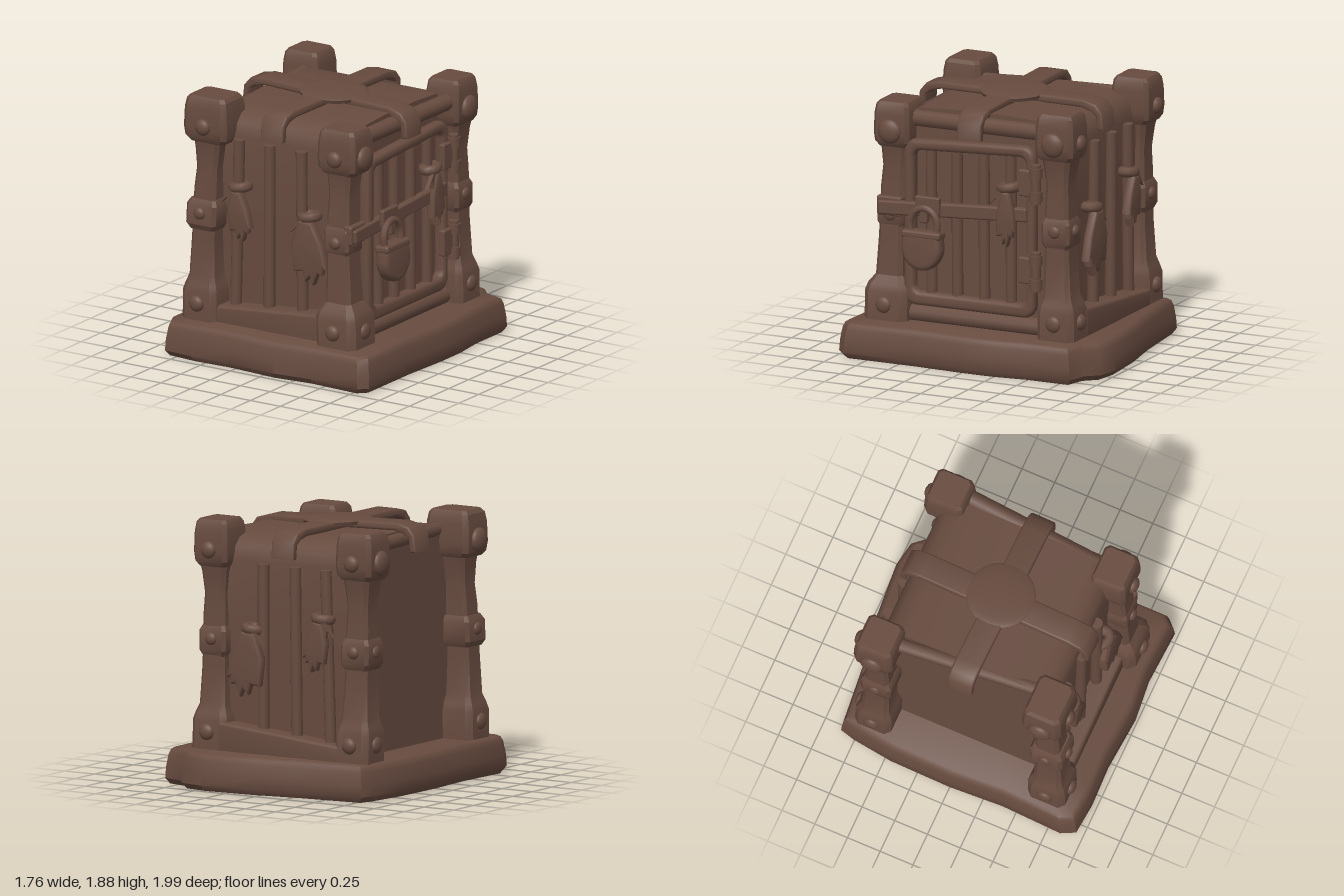
import * as THREE from 'three';
import { toCreasedNormals } from 'three/addons/utils/BufferGeometryUtils.js';
import { RoundedBoxGeometry } from 'three/addons/geometries/RoundedBoxGeometry.js';

const brown = new THREE.MeshStandardMaterial({ color: 0x674b3f });
brown.name = 'dark brown';

function add(parent, name, geo, x = 0, y = 0, z = 0) {
  const m = new THREE.Mesh(geo, brown);
  m.name = name;
  m.position.set(x, y, z);
  parent.add(m);
  return m;
}

// Closed skin over a stack of equal-length rings, bottom to top
function loft(rings, crease = 0.6) {
  const pos = [];
  const tri = (...v) => v.forEach(p => pos.push(...p));
  const n = rings[0].length;
  const mid = r => [0, 1, 2].map(k => r.reduce((s, p) => s + p[k], 0) / n);
  const low = mid(rings[0]), top = mid(rings.at(-1));
  for (let j = 0; j < n; j++) {
    const k = (j + 1) % n;
    for (let i = 0; i + 1 < rings.length; i++) {
      const a = rings[i], b = rings[i + 1];
      tri(a[j], b[j], a[k]);
      tri(a[k], b[j], b[k]);
    }
    tri(low, rings[0][j], rings[0][k]);
    tri(top, rings.at(-1)[k], rings.at(-1)[j]);
  }
  const g = new THREE.BufferGeometry();
  g.setAttribute('position', new THREE.Float32BufferAttribute(pos, 3));
  return toCreasedNormals(g, crease);
}

// Rectangular ring with cut corners
function cutRing(cx, y, cz, hx, hz, cut) {
  return [[1, -cut], [1, cut], [cut, 1], [-cut, 1], [-1, cut], [-1, -cut], [-cut, -1], [cut, -1]]
    .map(([x, z]) => [cx + x * hx, y, cz + z * hz]);
}

// Outline pushed out along z, centred on z = 0
function plate(points, depth, bevel = 0, holes = []) {
  const v = a => a.map(p => new THREE.Vector2(...p));
  const s = new THREE.Shape(v(points));
  holes.forEach(h => s.holes.push(new THREE.Path(v(h))));
  const g = new THREE.ExtrudeGeometry(s, {
    depth: depth - 2 * bevel, bevelEnabled: bevel > 0, bevelSize: bevel,
    bevelThickness: bevel, bevelOffset: -bevel, bevelSegments: 3,
  });
  g.translate(0, 0, bevel - depth / 2);
  return toCreasedNormals(g, 0.7);
}

function roundedRect(x0, y0, x1, y1, r) {
  const pts = [];
  [[x1 - r, y1 - r], [x0 + r, y1 - r], [x0 + r, y0 + r], [x1 - r, y0 + r]].forEach(([x, y], q) => {
    for (let i = 0; i <= 4; i++) {
      const a = (q + i / 4) * Math.PI / 2;
      pts.push([x + r * Math.cos(a), y + r * Math.sin(a)]);
    }
  });
  return pts;
}

function rod(parent, name, a, b, r) {
  const p = new THREE.Vector3(...a), d = new THREE.Vector3(...b).sub(p);
  const m = add(parent, name, new THREE.CylinderGeometry(r, r, d.length(), 10));
  m.position.copy(p).addScaledVector(d, 0.5);
  m.quaternion.setFromUnitVectors(new THREE.Vector3(0, 1, 0), d.normalize());
}

// Torn cloth tied around a bar
function rag(parent, x, y, z, w, h, lean) {
  const g = new THREE.Group(), s = Math.sign(z);
  g.name = 'rag';
  g.position.set(x, y, z);
  const knot = add(g, 'ragKnot', new THREE.TorusGeometry(0.048, 0.037, 8, 14));
  knot.rotation.set(Math.PI / 2, 0.12, 0);
  knot.scale.x = 1.1;
  const outline = [[-0.15, 0], [0.2, 0], [0.42, -0.35], [0.5, -0.72], [0.4, -0.7], [0.36, -0.82],
    [0.25, -0.8], [0.1, -1], [0.04, -0.86], [-0.1, -0.96], [-0.16, -0.8], [-0.4, -0.82], [-0.42, -0.4]];
  add(g, 'ragCloth', plate(outline.map(([u, v]) => [u * w - v * lean, v * h - 0.02]), 0.07, 0.022), 0, 0, s * 0.045);
  add(g, 'ragTail', plate([[-0.02, 0], [0.05, -0.02], [-0.04, -0.13], [-0.05, -0.07], [-0.1, -0.12]], 0.03), -0.02, 0, s * 0.05);
  parent.add(g);
}

export function createModel() {
  const model = new THREE.Group();
  model.name = 'cage';

  // Rough stone slab
  const edge = [[-0.8, -0.86], [-0.3, -0.91], [0.05, -0.97], [0.45, -1], [0.62, -0.97], [0.7, -0.88], [0.85, -0.84],
    [0.85, -0.5], [0.88, -0.25], [0.88, 0], [0.86, 0.4], [0.86, 0.92], [0.8, 0.98], [0.4, 0.96], [0.1, 0.99],
    [-0.3, 0.96], [-0.6, 0.97], [-0.83, 0.95], [-0.88, 0.85], [-0.86, 0.4], [-0.88, 0], [-0.87, -0.45], [-0.83, -0.75]];
  add(model, 'base', loft([[0, 0.97], [0.04, 1], [0.12, 0.995], [0.21, 0.98], [0.245, 0.965], [0.26, 0.94]]
    .map(([y, s]) => edge.map(([x, z]) => [x * s, y, z * s])), 0.7));

  // Corner posts: shaft and foot block, collar, cap as [height, half width]
  const shaft = [[0.24, 0.15], [0.46, 0.15], [0.51, 0.135], [0.57, 0.105], [0.85, 0.094], [1.2, 0.092], [1.35, 0.084], [1.5, 0.1], [1.6, 0.12]];
  const collar = [[0.91, 0.095], [0.95, 0.115], [1.09, 0.115], [1.13, 0.095]];
  const capShape = [[1.54, 0.8], [1.575, 0.95], [1.64, 1], [1.78, 0.97], [1.845, 0.9], [1.87, 0.78]];
  for (const [foot, low, mid, cap, tall, collarSize] of [
    [0.94, [-0.65, 0.69], [-0.64, 0.68], [-0.61, 0.65, 0.18, 0.15], 1.005, 1.08],
    [1.1, [0.53, 0.7], [0.49, 0.69], [0.49, 0.66, 0.16, 0.14], 0.975, 0.9],
    [0.92, [-0.64, -0.65], [-0.65, -0.62], [-0.66, -0.625, 0.15, 0.148], 1.005, 1],
    [0.95, [0.55, -0.64], [0.54, -0.62], [0.535, -0.62, 0.14, 0.15], 1.005, 0.95]]) {
    const at = y => [0, 1].map(k => y < 1 ? low[k] + (mid[k] - low[k]) * y : mid[k] + (cap[k] - mid[k]) * (y - 1) / 0.7);
    const post = new THREE.Group();
    post.name = 'cornerPost';
    const block = (name, list, size, cut) => add(post, name, loft(list.map(([y, h]) => {
      const [cx, cz] = at(y), s = h * (y < 0.52 ? foot : size);
      return cutRing(cx, y, cz, s, s, cut);
    }), 0.5));
    block('postShaft', shaft, 1, 0.72);
    block('postCollar', collar, collarSize, 0.8);
    add(post, 'postCap', loft(capShape.map(([y, s]) => cutRing(cap[0], y * tall, cap[1], cap[2] * s, cap[3] * s, 0.8)), 0.5));
    const sx = Math.sign(low[0]), sz = Math.sign(low[1]);
    for (const [y, hx, hz, rz, rx] of [[0.38, 0.15 * foot, 0.15 * foot, 0.058, 0.058],
      [1.03, 0.115 * collarSize, 0.115 * collarSize, 0.045, 0.045], [1.66, cap[2], cap[3], 0.06, 0.088]]) {
      const [cx, cz] = at(y);
      add(post, 'bolt', new THREE.SphereGeometry(rz, 14, 10), cx, y * tall, cz + sz * hz).scale.z = 0.65;
      add(post, 'bolt', new THREE.SphereGeometry(rx, 14, 10), cx + sx * hx, y * tall, cz).scale.x = 0.5;
    }
    model.add(post);
  }

  // Inner body with rounded roof edges
  const half = [[0.63, 0.24], [0.645, 1], [0.66, 1.6], [0.64, 1.69], [0.58, 1.75], [0.48, 1.78], [0.2, 1.795]];
  const mirrored = half.map(([z, y]) => [-z, y]).reverse();
  add(model, 'innerBody', plate([...half, ...mirrored], 1.07), -0.025).rotation.y = -Math.PI / 2;

  // Barred front and back
  for (const s of [1, -1]) {
    add(model, 'bottomRail', plate([[-0.56, 0.24], [0.46, 0.24], [0.46, 0.46], [-0.56, 0.37]], 0.2, 0.025), 0, 0, s * 0.68);
    for (const [top, low] of [[-0.385, -0.42], [-0.13, -0.14], [0.135, 0.14]])
      rod(model, 'bar', [low, 0.37, s * 0.67], [top, 1.59, s * 0.68], 0.042);
    rag(model, -0.37, 1.25, s * 0.69, 0.2, 0.36, 0.04);
    rag(model, 0.21, 1.13, s * 0.69, 0.31, 0.46, 0.04);
  }

  // Side rails
  rod(model, 'lowerDoorRail', [0.54, 0.31, 0.62], [0.54, 0.31, -0.62], 0.065);
  rod(model, 'upperDoorRail', [0.5, 1.7, 0.6], [0.59, 1.73, -0.6], 0.06);
  rod(model, 'upperWallRail', [-0.52, 1.74, 0.6], [-0.63, 1.74, -0.6], 0.05);

  // Crossed roof straps with hooked ends
  const strap = (a, b) => {
    const out = [[b, 1.63], [b - 0.01, 1.75], [b - 0.06, 1.81], [b - 0.16, 1.835],
      [a + 0.16, 1.835], [a + 0.06, 1.81], [a + 0.01, 1.75], [a, 1.63]];
    const under = [[a + 0.05, 1.63], [a + 0.06, 1.73], [a + 0.1, 1.76], [a + 0.18, 1.78],
      [b - 0.18, 1.78], [b - 0.1, 1.76], [b - 0.06, 1.73], [b - 0.05, 1.63]];
    return plate([...out, ...under], 0.19, 0.015);
  };
  add(model, 'crossStrap', strap(-0.79, 0.61), 0, 0.01, 0.03).rotation.set(0, -0.02, -0.03);
  add(model, 'lengthStrap', strap(-0.75, 0.71), -0.055, 0.01, 0).rotation.y = Math.PI / 2 - 0.025;
  const boss = add(model, 'roofBoss', new THREE.SphereGeometry(0.245, 28, 10, 0, Math.PI * 2, 0, Math.PI / 2), -0.03, 1.838, 0.02);
  boss.scale.y = 0.11;
  boss.rotation.z = -0.03;
  add(model, 'roofBossBase', new THREE.CylinderGeometry(0.245, 0.235, 0.025, 28), -0.03, 1.827, 0.02).rotation.z = -0.03;

  // Barred door, built facing +z and turned to the +x side
  const door = new THREE.Group();
  door.name = 'door';
  door.position.x = 0.58;
  door.rotation.y = Math.PI / 2;
  model.add(door);
  const skew = pts => pts.map(([x, y]) => [x, y + (y > 1 ? 0.05 * x : 0)]);
  add(door, 'doorFrame', plate(skew(roundedRect(-0.57, 0.38, 0.45, 1.6, 0.09)), 0.09, 0.03,
    [skew(roundedRect(-0.49, 0.48, 0.38, 1.52, 0.05))]));
  for (const u of [-0.37, -0.17, 0.04, 0.25]) rod(door, 'doorBar', [u, 0.45, -0.01], [u - 0.005, 1.54, -0.01], 0.04);
  add(door, 'doorBand', new RoundedBoxGeometry(1.16, 0.1, 0.06, 2, 0.015), -0.18, 1.095, 0.035).rotation.z = 0.06;
  add(door, 'bandEnd', new RoundedBoxGeometry(0.19, 0.14, 0.07, 2, 0.015), -0.685, 1.07, 0.005);

  // Hinges
  for (const y of [0.735, 1.365]) {
    add(door, 'hingePlate', new RoundedBoxGeometry(0.16, 0.19, 0.05, 2, 0.012), 0.42, y, 0.05);
    add(door, 'hingePin', new THREE.CylinderGeometry(0.036, 0.036, 0.28, 12), 0.475, y, 0.065);
    for (const d of [-0.085, 0.085]) add(door, 'hingeKnuckle', new THREE.CylinderGeometry(0.048, 0.048, 0.07, 12), 0.475, y + d, 0.065);
  }

  // Hasp and padlock, its foot swung outward
  add(door, 'hasp', new RoundedBoxGeometry(0.19, 0.13, 0.04, 2, 0.012), -0.36, 1.12, 0.075);
  add(door, 'haspLoop', new RoundedBoxGeometry(0.06, 0.12, 0.05, 2, 0.012), -0.375, 1.06, 0.1);
  const lock = new THREE.Group();
  lock.name = 'padlock';
  lock.position.set(-0.375, 0.95, 0.115);
  lock.rotation.x = -0.05;
  door.add(lock);
  const arch = new THREE.CatmullRomCurve3([[-0.1, -0.03, 0], [-0.105, 0.06, 0], [-0.065, 0.13, 0], [0, 0.155, 0],
    [0.065, 0.13, 0], [0.105, 0.06, 0], [0.1, -0.03, 0]].map(p => new THREE.Vector3(...p)));
  add(lock, 'shackle', new THREE.TubeGeometry(arch, 20, 0.026, 8));
  const body = [[0.14, 0], [-0.14, 0]];
  for (let i = 0; i <= 14; i++) {
    const a = Math.PI * (1 + i / 14);
    body.push([0.155 * Math.cos(a), -0.12 + 0.165 * Math.sin(a)]);
  }
  add(lock, 'lockBody', plate(body, 0.11, 0.035));
  add(lock, 'lockBand', new RoundedBoxGeometry(0.3, 0.055, 0.115, 2, 0.02), 0, -0.028, 0);
  rag(door, 0.245, 1.31, 0.02, 0.16, 0.4, -0.005);

  return model;
}
